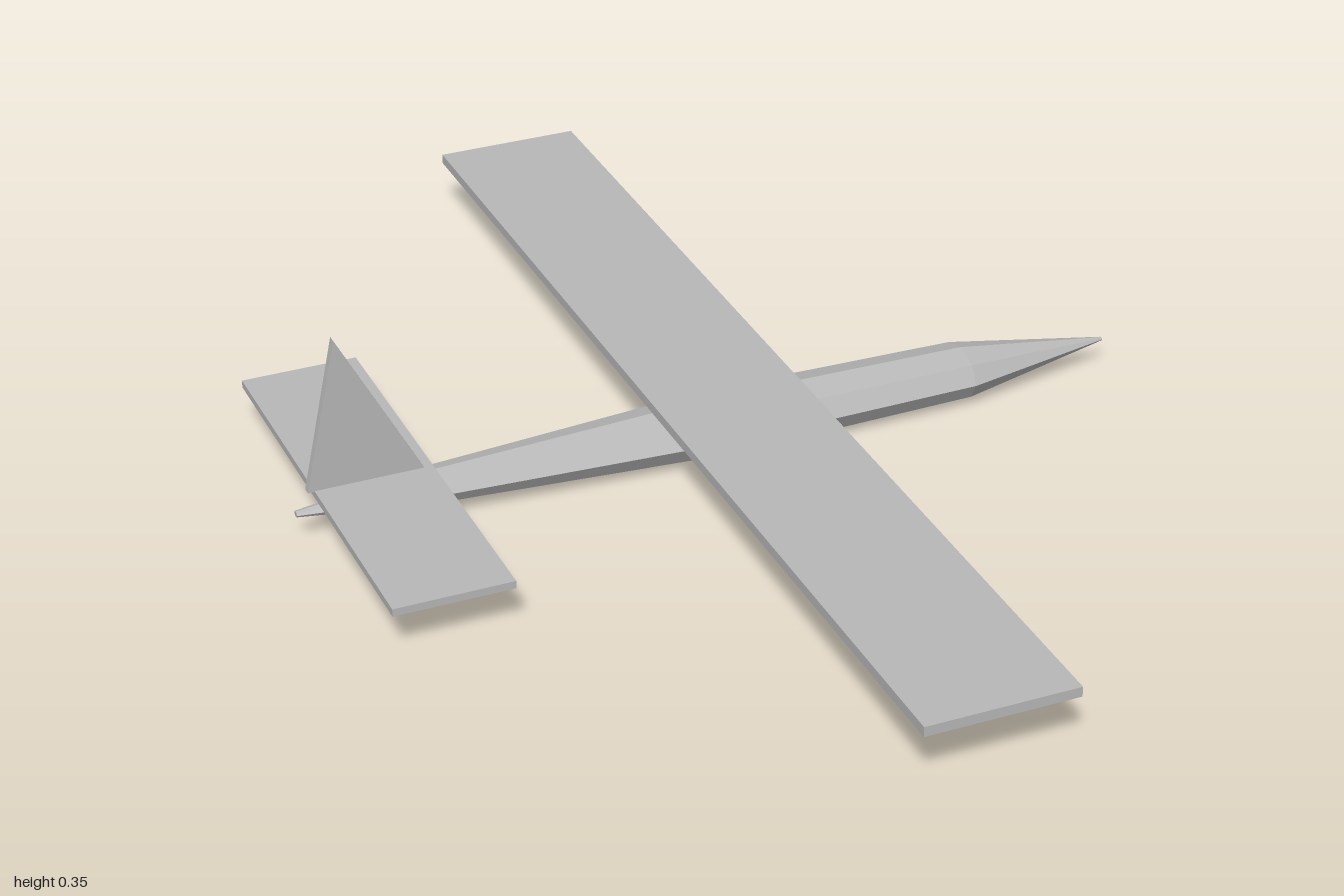
import * as THREE from 'three';

export function createModel() {
  const model = new THREE.Group();
  model.name = 'glider';
  const grey = new THREE.MeshStandardMaterial({ color: 0xb8b8b8 });
  grey.name = 'light grey';

  const add = (name, geometry, x = 0, y = 0, z = 0) => {
    const mesh = new THREE.Mesh(geometry, grey);
    mesh.name = name;
    mesh.position.set(x, y, z);
    model.add(mesh);
  };

  // Fuselage: eight-sided spindle along x, flattened in height, [station, half width]
  const stations = [
    [-0.72, 0], [-0.72, 0.007], [-0.5, 0.039], [0, 0.07], [0.45, 0.062], [0.72, 0.004], [0.72, 0],
  ];
  const body = new THREE.LatheGeometry(stations.map(([x, r]) => new THREE.Vector2(r, x)), 8)
    .rotateZ(-Math.PI / 2)
    .scale(1, 0.69, 1)
    .toNonIndexed();
  body.computeVertexNormals();
  add('fuselage', body, 0, 0.0485, 0);
  model.children[0].position.y = 0.051;

  // Main wing and tailplane: flat slabs
  add('wing', new THREE.BoxGeometry(0.254, 0.017, 2), 0.015, 0.105, 0);
  add('tailplane', new THREE.BoxGeometry(0.198, 0.013, 0.756), -0.59, 0.083, 0);

  // Tail fin: thin triangular plate
  const outline = new THREE.Shape([
    new THREE.Vector2(-0.7, 0.088),
    new THREE.Vector2(-0.505, 0.088),
    new THREE.Vector2(-0.645, 0.35),
  ]);
  add('tailFin', new THREE.ExtrudeGeometry(outline, { depth: 0.014, bevelEnabled: false }), 0, 0, -0.007);

  // Rest the lowest point of the fuselage on the ground
  const lowest = new THREE.Box3().setFromObject(model).min.y;
  model.position.y = -lowest;
  return model;
}
